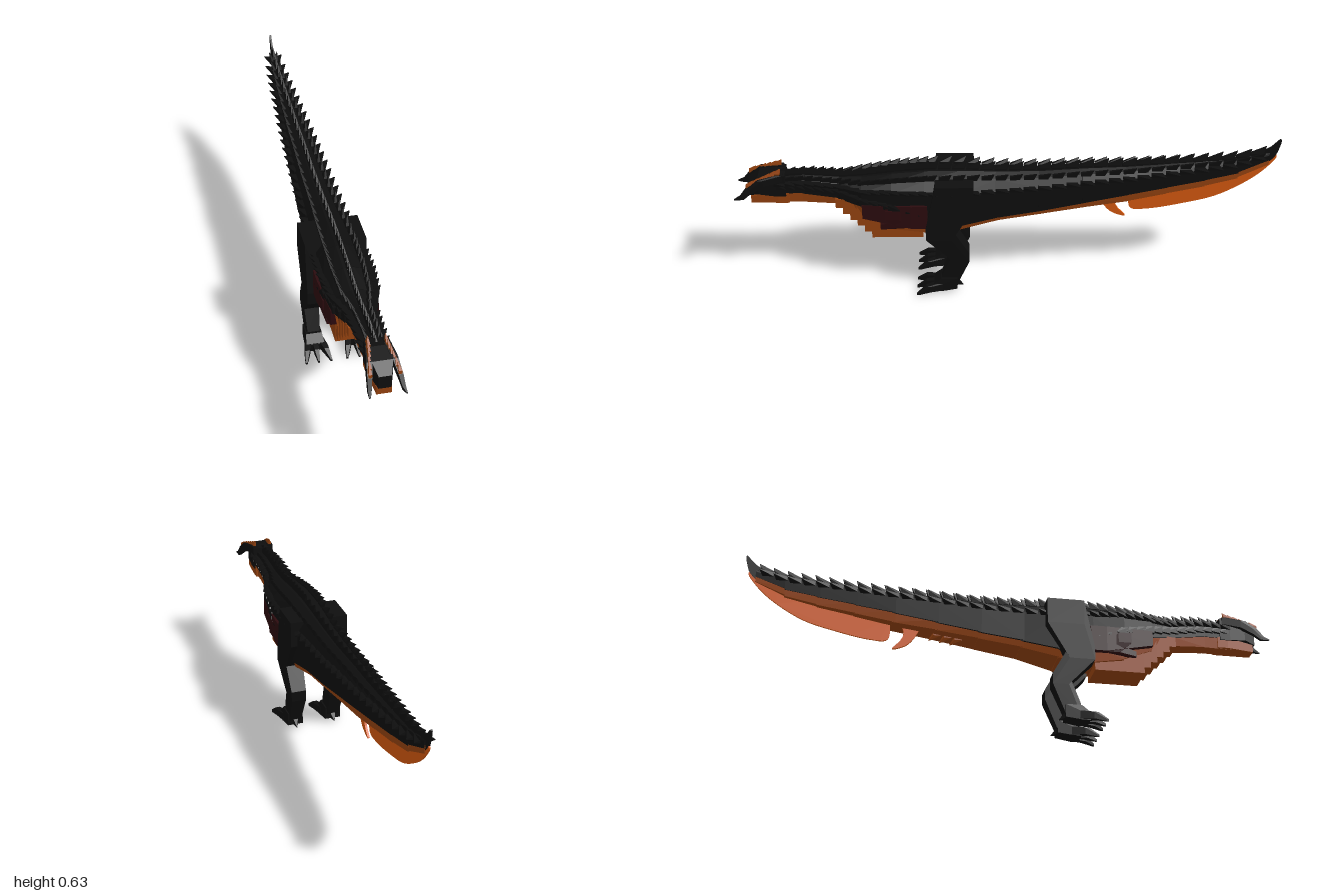
import * as THREE from 'three';
import { ConvexGeometry } from 'three/addons/geometries/ConvexGeometry.js';
import { mergeGeometries } from 'three/addons/utils/BufferGeometryUtils.js';

const material = (name, color, side = THREE.FrontSide) => {
  const m = new THREE.MeshStandardMaterial({ color, side });
  m.name = name;
  return m;
};

// Hull around two small boxes, each [x, y, z, halfX, halfY, halfZ]
function link(a, b) {
  const pts = [];
  for (const [x, y, z, rx, ry, rz] of [a, b])
    for (const i of [-1, 1]) for (const j of [-1, 1]) for (const k of [-1, 1])
      pts.push(new THREE.Vector3(x + i * rx, y + j * ry, z + k * rz));
  return new ConvexGeometry(pts);
}
const chain = (stations) => stations.slice(1).map((b, i) => link(stations[i], b));
const spike = (x, y, z, dx, dy, dz, w, h, l) =>
  link([x, y, z, w, h, l], [x + dx, y + dy, z + dz, 0.001, 0.001, 0.001]);

// Body stations: z, top, lower edge of hide, lower edge of belly, half width
const BODY = [
  [0.86, 0.475, 0.42, 0.375, 0.034], [0.75, 0.485, 0.42, 0.378, 0.036],
  [0.62, 0.475, 0.40, 0.37, 0.042], [0.53, 0.48, 0.38, 0.33, 0.078],
  [0.42, 0.495, 0.36, 0.28, 0.09], [0.30, 0.505, 0.32, 0.26, 0.09],
  [0.18, 0.505, 0.30, 0.272, 0.085], [0.04, 0.50, 0.33, 0.308, 0.072],
  [-0.12, 0.50, 0.355, 0.333, 0.066], [-0.28, 0.51, 0.385, 0.358, 0.058],
  [-0.44, 0.515, 0.415, 0.38, 0.05], [-0.58, 0.525, 0.44, 0.408, 0.04],
  [-0.72, 0.535, 0.465, 0.435, 0.03], [-0.84, 0.545, 0.49, 0.465, 0.02],
  [-0.95, 0.57, 0.54, 0.52, 0.008],
];
function bodyAt(z) {
  let i = 0;
  while (i < BODY.length - 2 && BODY[i + 1][0] > z) i++;
  const a = BODY[i], b = BODY[i + 1], t = (z - a[0]) / (b[0] - a[0]);
  return a.map((v, k) => v + (b[k] - v) * t);
}

// Chamfered hide section and boxy belly section
const hideRing = ([z, top, low, , w]) => {
  const h = top - low;
  return [[w, low], [w, top - h * 0.3], [w * 0.62, top - h * 0.08], [w * 0.2, top]]
    .flatMap(([x, y]) => [new THREE.Vector3(x, y, z), new THREE.Vector3(-x, y, z)]);
};
const bellyRing = ([z, , low, belly, w]) => [[w * 0.93, low + 0.01], [w * 0.8, belly]]
  .flatMap(([x, y]) => [new THREE.Vector3(x, y, z), new THREE.Vector3(-x, y, z)]);

// Overlapping segments, each slightly pinched at its rear end
function segments(ring) {
  return BODY.slice(1).map((b, i) => {
    const rear = [...b];
    rear[0] -= 0.012;
    rear[4] *= 0.95;
    return new ConvexGeometry([...ring(BODY[i]), ...ring(rear)]);
  });
}

// Thin plate outlined in z and y
function plate(outline, thick) {
  const shape = new THREE.Shape();
  shape.moveTo(...outline[0]);
  shape.splineThru(outline.slice(1).map((p) => new THREE.Vector2(...p)));
  const g = new THREE.ExtrudeGeometry(shape, { depth: thick, bevelEnabled: false });
  return g.translate(0, 0, -thick / 2).rotateY(-Math.PI / 2);
}

export function createModel() {
  const hide = material('black hide', 0x0e0e0e);
  const belly = material('burnt orange belly', 0x964310);
  const fin = material('bright orange fin', 0xd4580f, THREE.DoubleSide);
  const maroon = material('dark maroon flank', 0x2c0b0e);

  const model = new THREE.Group();
  const torso = new THREE.Group();
  torso.name = 'torso';
  torso.position.x = 0.008;
  model.add(torso);
  const add = (parent, name, parts, mat) => {
    const mesh = new THREE.Mesh(mergeGeometries([parts].flat()), mat);
    mesh.name = name;
    parent.add(mesh);
  };

  add(torso, 'backHide', segments(hideRing), hide);
  add(torso, 'underside', segments(bellyRing), belly);

  // Stepped chest plates, deeper and wider toward the rear
  const chest = [];
  for (let i = 0; i < 6; i++) {
    const low = 0.36 - i * 0.025, front = 0.63 - i * 0.026;
    chest.push(new THREE.BoxGeometry(0.094 + i * 0.006, 0.4 - low, front - 0.31)
      .translate(0, (0.4 + low) / 2, (front + 0.31) / 2));
  }
  add(torso, 'chestPlates', chest, belly);

  // Head: skull, snout and lower jaw
  add(torso, 'skull', chain([
    [0, 0.455, 0.83, 0.04, 0.045, 0.02], [0, 0.452, 0.90, 0.036, 0.036, 0.01],
    [0, 0.43, 0.945, 0.022, 0.025, 0.006],
  ]), hide);
  add(torso, 'jaw', link([0, 0.4, 0.82, 0.036, 0.022, 0.02], [0, 0.388, 0.93, 0.026, 0.015, 0.012]), belly);

  // Spine ridge, denser along the neck
  const ridge = [], sideScales = [];
  for (let z = 0.84; z > -0.93; z -= z > 0.3 ? 0.035 : 0.052) {
    const [, top, low, , w] = bodyAt(z);
    ridge.push(spike(0, top, z, 0, 0.034, -0.032, 0.007, 0.006, 0.022));
    for (const s of [-1, 1]) {
      const y = top - (top - low) * 0.3;
      sideScales.push(spike(s * w * 0.92, y, z, s * 0.025, 0.006, -0.032, 0.005, 0.008, 0.02));
      sideScales.push(spike(s * w * 0.6, top - 0.01, z, s * 0.009, 0.022, -0.028, 0.006, 0.006, 0.018));
      if (z > 0.3) // shaggy neck and shoulder scales
        sideScales.push(spike(s * w * 0.96, low + 0.03, z, s * 0.01, -0.008, -0.03, 0.006, 0.014, 0.014));
    }
  }
  add(torso, 'spineRidge', ridge, hide);
  add(torso, 'sideScales', sideScales, hide);

  // Tail fin, small hooked fins and the upswept tail tip
  add(torso, 'tailFin', plate([[-0.46, 0.44], [-0.46, 0.33], [-0.53, 0.32], [-0.66, 0.345],
    [-0.78, 0.38], [-0.89, 0.445], [-0.96, 0.51], [-0.985, 0.56], [-0.88, 0.53], [-0.7, 0.47]], 0.006), fin);
  add(torso, 'hookFin', plate([[-0.33, 0.41], [-0.36, 0.345], [-0.395, 0.305], [-0.445, 0.288],
    [-0.415, 0.325], [-0.405, 0.36], [-0.425, 0.41]], 0.008), fin);
  add(torso, 'finBarbs', [-0.2, -0.24, -0.28].map((z) => spike(0, bodyAt(z)[3], z, 0, -0.024, -0.03, 0.01, 0.006, 0.014)), belly);
  add(torso, 'tailTip', plate([[-0.82, 0.54], [-0.9, 0.56], [-0.96, 0.59], [-0.998, 0.627],
    [-0.995, 0.59], [-0.975, 0.545], [-0.92, 0.505], [-0.84, 0.495]], 0.007), hide);

  for (const s of [-1, 1]) {
    const side = s > 0 ? 'left' : 'right';

    // Forward horns with a row of orange barbs
    add(torso, side + 'Horn', chain([
      [s * 0.032, 0.49, 0.83, 0.01, 0.014, 0.012], [s * 0.044, 0.475, 0.90, 0.01, 0.014, 0.01],
      [s * 0.052, 0.445, 0.945, 0.008, 0.011, 0.008], [s * 0.057, 0.418, 0.97, 0.006, 0.007, 0.006],
      [s * 0.062, 0.412, 0.995, 0.002, 0.002, 0.003],
    ]), hide);
    const barbs = [];
    for (let i = 0; i < 6; i++) {
      const t = i / 5;
      barbs.push(spike(s * (0.05 - 0.018 * t), 0.462 + 0.04 * t, 0.94 - 0.1 * t,
        -s * 0.002, 0.024, -0.014, 0.006, 0.008, 0.012));
    }
    add(torso, side + 'HornBarbs', barbs, belly);

    // Flank panel and folded forelimb
    add(torso, side + 'Flank', [
      link([s * 0.074, 0.37, 0.51, 0.012, 0.03, 0.02], [s * 0.085, 0.35, 0.32, 0.012, 0.05, 0.03]),
      ...chain([[s * 0.086, 0.36, 0.42, 0.01, 0.02, 0.025], [s * 0.082, 0.315, 0.38, 0.009, 0.015, 0.02],
        [s * 0.078, 0.3, 0.45, 0.007, 0.01, 0.015]]),
    ], maroon);

    // Hind leg
    const x = s * 0.077;
    add(model, side + 'Leg', chain([
      [x, 0.44, 0.19, 0.035, 0.05, 0.07], [x, 0.275, 0.25, 0.034, 0.025, 0.048],
      [x, 0.165, 0.168, 0.029, 0.02, 0.03], [x, 0.05, 0.215, 0.023, 0.022, 0.028],
    ]), hide);

    // Splayed toes with claws
    const toes = [link([x, 0.04, 0.215, 0.03, 0.025, 0.03], [x, 0.022, 0.26, 0.034, 0.016, 0.015])];
    for (const k of [-1, 0, 1]) toes.push(...chain([
      [x + k * 0.024, 0.025, 0.25, 0.01, 0.016, 0.012],
      [x + k * 0.036, 0.022, 0.295, 0.009, 0.013, 0.008],
      [x + k * 0.047, 0.004, 0.335, 0.003, 0.004, 0.004],
    ]));
    toes.push(spike(x, 0.03, 0.195, 0, -0.018, -0.03, 0.01, 0.012, 0.01));
    add(model, side + 'Foot', toes, hide);
  }
  return model;
}
